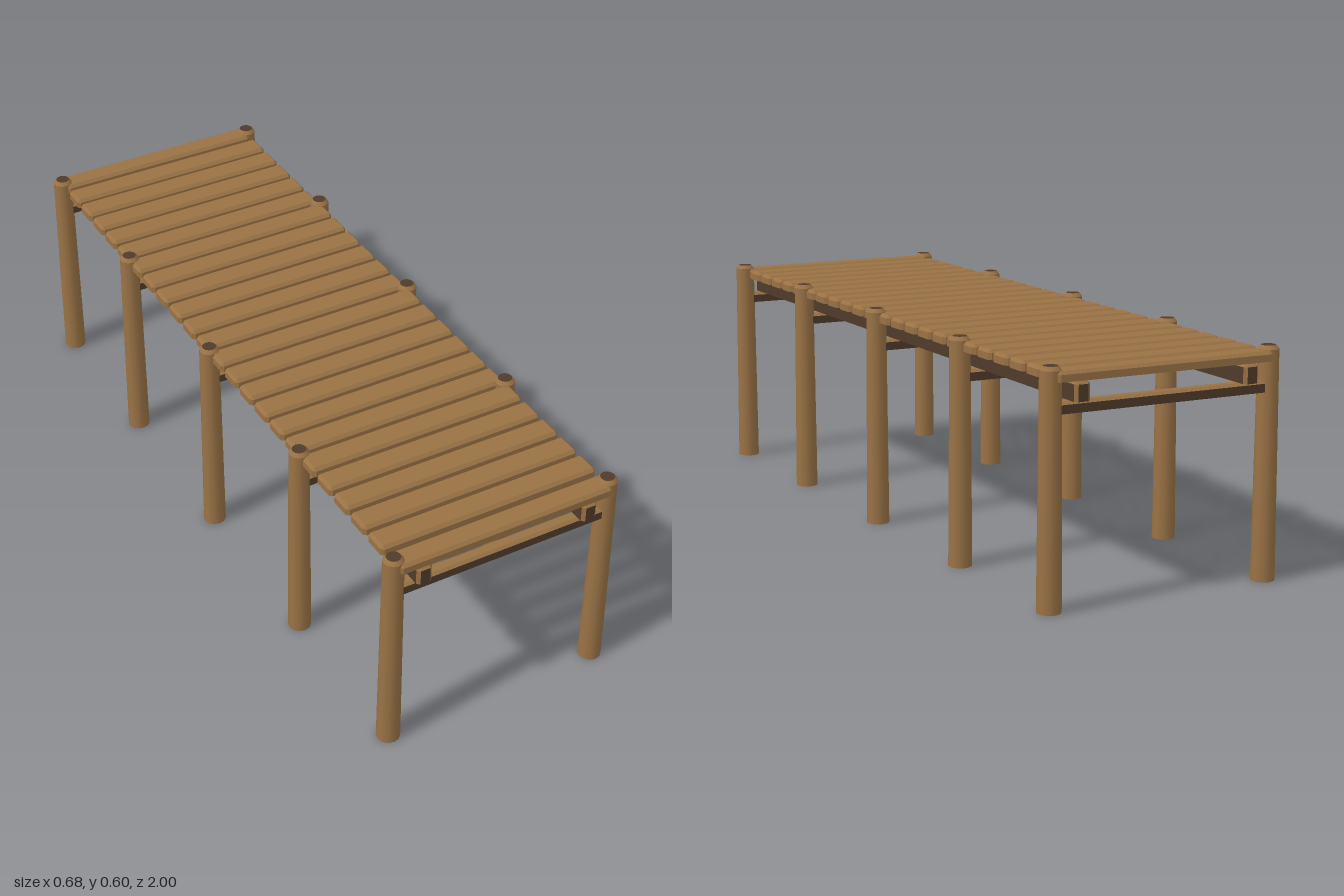
import * as THREE from 'three';
import { ConvexGeometry } from 'three/addons/geometries/ConvexGeometry.js';

// Timber with its top and upright edges cut at 45 degrees and an open underside;
// group 0 = upright faces, group 1 = top face and cut edges
function timber(w, h, d, c) {
  const pts = [];
  for (const x of [-1, 1]) for (const z of [-1, 1]) {
    const X = x * w / 2, Y = h / 2, Z = z * d / 2;
    for (const y of [-Y, Y - c]) {
      pts.push(new THREE.Vector3(X, y, Z - z * c));
      pts.push(new THREE.Vector3(X - x * c, y, Z));
    }
    pts.push(new THREE.Vector3(X - x * c, Y, Z - z * c));
  }
  const { position, normal } = new ConvexGeometry(pts).attributes;
  const sides = [], tops = [];
  for (let i = 0; i < position.count; i += 3) {
    if (normal.getY(i) < -0.9) continue;
    const upright = Math.max(Math.abs(normal.getX(i)), Math.abs(normal.getZ(i))) > 0.95;
    (upright ? sides : tops).push(...position.array.slice(i * 3, i * 3 + 9));
  }
  const geo = new THREE.BufferGeometry();
  geo.setAttribute('position', new THREE.Float32BufferAttribute([...sides, ...tops], 3));
  geo.computeVertexNormals();
  geo.addGroup(0, sides.length / 3, 0);
  geo.addGroup(sides.length / 3, tops.length / 3, 1);
  return geo;
}

export function createModel() {
  const pier = new THREE.Group();
  pier.name = 'pier';

  const wood = new THREE.MeshStandardMaterial({ color: 0x997245, side: THREE.DoubleSide });
  wood.name = 'brown wood';
  const darkWood = new THREE.MeshStandardMaterial({ color: 0x4f3b2a, side: THREE.DoubleSide });
  darkWood.name = 'dark wood';

  const add = (name, geo, mat, x, y, z) => {
    const mesh = new THREE.Mesh(geo, mat);
    mesh.name = name;
    mesh.position.set(x, y, z);
    pier.add(mesh);
  };

  // Deck planks, the two end ones slightly smaller
  const plankCount = 24;
  const plankGeo = timber(0.622, 0.026, 0.071, 0.008);
  const endPlankGeo = timber(0.61, 0.026, 0.064, 0.008);
  for (let i = 0; i < plankCount; i++) {
    const isEnd = i === 0 || i === plankCount - 1;
    const z = -0.965 + (1.93 * i) / (plankCount - 1);
    add('plank', isEnd ? endPlankGeo : plankGeo, [wood, wood], 0, 0.576, z);
  }

  // Long beams under the deck
  const beamGeo = timber(0.043, 0.05, 2, 0.008);
  for (const s of [-1, 1]) add('longBeam', beamGeo, [darkWood, wood], s * 0.238, 0.538, 0);

  // Cross beams and tapered round posts, open underneath, with dark end grain on top
  const crossGeo = timber(0.6, 0.029, 0.036, 0.007);
  const postProfile = [[0.031, 0], [0.027, 0.59], [0.019, 0.6], [0, 0.6]];
  const postParts = ['post', 'postRim', 'postTop'].map((name, i) => ({
    name,
    mat: name === 'postTop' ? darkWood : wood,
    geo: new THREE.LatheGeometry(
      [postProfile[i], postProfile[i + 1]].map(([r, y]) => new THREE.Vector2(r, y)), 12),
  }));
  for (const z of [-0.965, -0.5, 0, 0.5, 0.965]) {
    add('crossBeam', crossGeo, [darkWood, wood], 0, 0.4985, z);
    for (const s of [-1, 1]) {
      for (const { name, geo, mat } of postParts) add(name, geo, mat, s * 0.308, 0, z);
    }
  }
  return pier;
}
